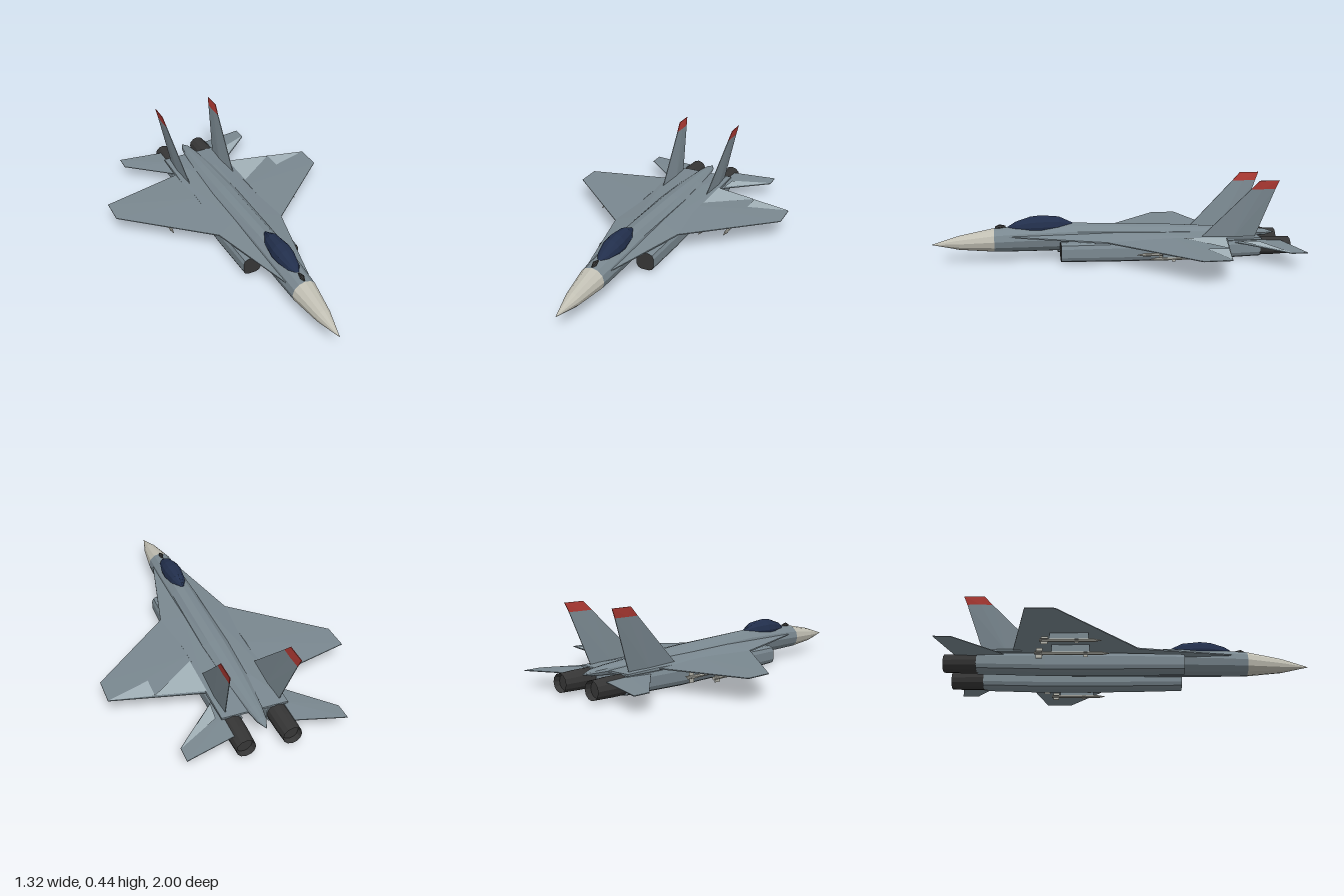
import * as THREE from 'three';
import { ConvexGeometry } from 'three/addons/geometries/ConvexGeometry.js';

const mat = (name, color, side = THREE.FrontSide) => {
  const m = new THREE.MeshStandardMaterial({ color, side });
  m.name = name;
  return m;
};

// Flat-faceted loft through sections [z, cx, cy, rx, ry], z falling.
// power < 1 makes the section boxier. Groups: 0 skin, 1 front cap, 2 rear cap.
function loft(sections, sides, power = 1, turn = 0) {
  const rings = sections.map(([z, cx, cy, rx, ry]) =>
    Array.from({ length: sides }, (_, i) => {
      const a = ((i + turn) / sides) * Math.PI * 2;
      const bend = (v) => Math.sign(v) * Math.pow(Math.abs(v), power);
      return [cx + rx * bend(Math.cos(a)), cy + ry * bend(Math.sin(a)), z];
    }));
  const pos = [];
  const tri = (...p) => p.forEach((v) => pos.push(...v));
  for (let r = 0; r < rings.length - 1; r++) {
    for (let i = 0; i < sides; i++) {
      const j = (i + 1) % sides;
      const [a, b, c, d] = [rings[r][i], rings[r][j], rings[r + 1][j], rings[r + 1][i]];
      tri(a, d, c);
      tri(a, c, b);
    }
  }
  const skin = pos.length / 3;
  const cap = (ring, [z, cx, cy], front) => ring.forEach((a, i) => {
    const b = ring[(i + 1) % sides];
    if (front) tri([cx, cy, z], a, b);
    else tri([cx, cy, z], b, a);
  });
  cap(rings[0], sections[0], true);
  cap(rings[rings.length - 1], sections[sections.length - 1], false);
  const g = new THREE.BufferGeometry();
  g.setAttribute('position', new THREE.Float32BufferAttribute(pos, 3));
  g.computeVertexNormals();
  g.addGroup(0, skin, 0);
  g.addGroup(skin, sides * 3, 1);
  g.addGroup(skin + sides * 3, sides * 3, 2);
  return g;
}

// Convex solid from points, mirrored in x by s
const hull = (s, pts) =>
  new ConvexGeometry(pts.map(([x, y, z]) => new THREE.Vector3(s * x, y, z)));

// Each [x, y, z, t] gives a pair of points, t above and below
const plate = (s, pts) =>
  hull(s, pts.flatMap(([x, y, z, t]) => [[x, y + t, z], [x, y - t, z]]));

// Each [x, y, z, t] gives a pair of points, t to either side
const blade = (s, pts) =>
  hull(s, pts.flatMap(([x, y, z, t]) => [[x + t, y, z], [x - t, y, z]]));

export function createModel() {
  const grey = mat('airframe grey', 0x7a8890);
  const pale = mat('pale panel grey', 0xa3b2b9, THREE.DoubleSide);
  const cream = mat('nose cream', 0xc2c0b4);
  const navy = mat('canopy navy', 0x222f4c);
  const dark = mat('engine charcoal', 0x363636);
  const red = mat('fin tip red', 0xb03a34);
  const steel = mat('missile grey', 0xb5b5ac);

  const model = new THREE.Group();
  const add = (name, geometry, material, parent = model) => {
    const m = new THREE.Mesh(geometry, material);
    m.name = name;
    parent.add(m);
    return m;
  };
  const addLoft = (name, geometry, skin, front = skin, rear = skin, parent = model) =>
    add(name, geometry, [skin, front, rear], parent);

  // Fuselage, nose and cockpit
  addLoft('noseCone', loft([
    [1, 0, 0.105, 0.001, 0.001], [0.85, 0, 0.112, 0.041, 0.04], [0.66, 0, 0.122, 0.07, 0.067],
  ], 12), cream);
  addLoft('fuselage', loft([
    [0.66, 0, 0.122, 0.07, 0.067], [0.5, 0, 0.126, 0.076, 0.074], [0.22, 0, 0.129, 0.079, 0.078],
    [-0.3, 0, 0.12, 0.083, 0.066], [-0.6, 0, 0.121, 0.068, 0.045],
    [-0.82, 0, 0.123, 0.04, 0.026], [-0.9, 0, 0.121, 0.026, 0.018], [-0.955, 0, 0.118, 0.002, 0.002],
  ], 12), grey);
  addLoft('canopy', loft([
    [0.585, 0, 0.188, 0.008, 0.006], [0.54, 0, 0.19, 0.036, 0.032], [0.46, 0, 0.193, 0.053, 0.055],
    [0.4, 0, 0.194, 0.056, 0.06], [0.3, 0, 0.195, 0.042, 0.05], [0.215, 0, 0.198, 0.004, 0.006],
  ], 12), navy);
  addLoft('sensorBall', loft([
    [0.655, 0, 0.192, 0.004, 0.006], [0.63, 0, 0.195, 0.013, 0.015], [0.595, 0, 0.195, 0.004, 0.006],
  ], 8), dark);

  // Flat centre deck with the root extensions running forward
  add('centreDeck', plate(1, [-1, 1].flatMap((s) => [
    [s * 0.07, 0.148, 0.58, 0.003], [s * 0.198, 0.127, 0.05, 0.004],
    [s * 0.18, 0.124, -0.63, 0.006], [s * 0.178, 0.12, -0.825, 0.005],
    [s * 0.08, 0.135, 0.0, 0.022], [s * 0.08, 0.13, -0.6, 0.014],
  ])), grey);

  for (const s of [1, -1]) {
    const side = new THREE.Group();
    side.name = s > 0 ? 'leftSide' : 'rightSide';
    model.add(side);

    // Engine trunk with intake face, then nozzle
    addLoft('engineTrunk', loft([
      [0.3, s * 0.117, 0.068, 0.052, 0.052], [0, s * 0.121, 0.066, 0.058, 0.056],
      [-0.45, s * 0.123, 0.064, 0.06, 0.058], [-0.82, s * 0.122, 0.068, 0.057, 0.053],
    ], 12, 0.6, 0.5), grey, dark, grey, side);
    addLoft('exhaustNozzle', loft([
      [-0.79, s * 0.122, 0.068, 0.054, 0.053], [-0.9, s * 0.122, 0.068, 0.054, 0.053],
      [-1, s * 0.122, 0.067, 0.05, 0.049], [-0.97, s * 0.122, 0.067, 0.043, 0.042],
    ], 12), dark, dark, dark, side);

    // Main wing, thickest at the root
    add('wing', plate(s, [
      [0.17, 0.127, 0.06, 0.004], [0.198, 0.127, 0.05, 0.003], [0.66, 0.125, -0.36, 0.002],
      [0.66, 0.125, -0.51, 0.002], [0.16, 0.124, -0.63, 0.003], [0.17, 0.126, -0.32, 0.011],
    ]), grey, side);

    // Drooping tailplane
    add('tailplane', plate(s, [
      [0.16, 0.103, -0.66, 0.002], [0.42, 0.089, -0.91, 0.002], [0.42, 0.089, -1, 0.002],
      [0.16, 0.103, -0.94, 0.002], [0.16, 0.103, -0.8, 0.007],
    ]), grey, side);

    // Canted fin and its painted tip
    add('fin', blade(s, [
      [0.145, 0.12, -0.47, 0.002], [0.145, 0.12, -0.79, 0.002], [0.145, 0.12, -0.66, 0.011],
      [0.174, 0.4, -0.755, 0.002], [0.174, 0.4, -0.895, 0.002], [0.174, 0.4, -0.82, 0.004],
    ]), grey, side);
    add('finTip', blade(s, [
      [0.174, 0.4, -0.755, 0.002], [0.174, 0.4, -0.895, 0.002], [0.174, 0.4, -0.82, 0.004],
      [0.18, 0.448, -0.802, 0.002], [0.18, 0.448, -0.916, 0.002],
    ]), red, side);

    // Underwing missiles on pylons
    for (const [x, y, front, rear, span] of [
      [0.257, 0.07, -0.1, -0.5, 0.058], [0.395, 0.08, -0.14, -0.46, 0.042],
    ]) {
      const missile = new THREE.Group();
      missile.name = 'missile';
      side.add(missile);
      addLoft('missileBody', loft([
        [front, s * x, y, 0.001, 0.001], [front - 0.04, s * x, y, 0.009, 0.009],
        [rear, s * x, y, 0.009, 0.009],
      ], 8), steel, steel, steel, missile);
      for (const [z, w, chord] of [[rear + 0.025, span, 0.035], [front - 0.13, span * 0.75, 0.02]]) {
        for (const turn of [0, Math.PI / 2]) {
          const f = add('missileFins', new THREE.BoxGeometry(w, 0.003, chord), steel, missile);
          f.position.set(s * x, y, z);
          f.rotation.z = turn;
        }
      }
      const h = 0.125 - y;
      add('pylon', new THREE.BoxGeometry(0.01, h, 0.2), grey, missile)
        .position.set(s * x, y + h / 2, (front + rear) / 2 - 0.01);
    }
  }

  // Pale panels on the left wing and tailplane
  const panel = (name, pts) => {
    const g = new THREE.BufferGeometry();
    g.setAttribute('position', new THREE.Float32BufferAttribute(pts.flat(), 3));
    g.computeVertexNormals();
    add(name, g, pale);
  };
  panel('innerFlapPanel', [[0.175, 0.138, -0.37], [0.43, 0.133, -0.56], [0.175, 0.132, -0.62]].reverse());
  panel('outerFlapPanel', [[0.43, 0.134, -0.44], [0.655, 0.129, -0.51], [0.43, 0.132, -0.56]].reverse());
  panel('tailplanePanel', [[0.185, 0.111, -0.69], [0.418, 0.0925, -0.915], [0.2, 0.112, -0.8]].reverse());

  return model;
}
